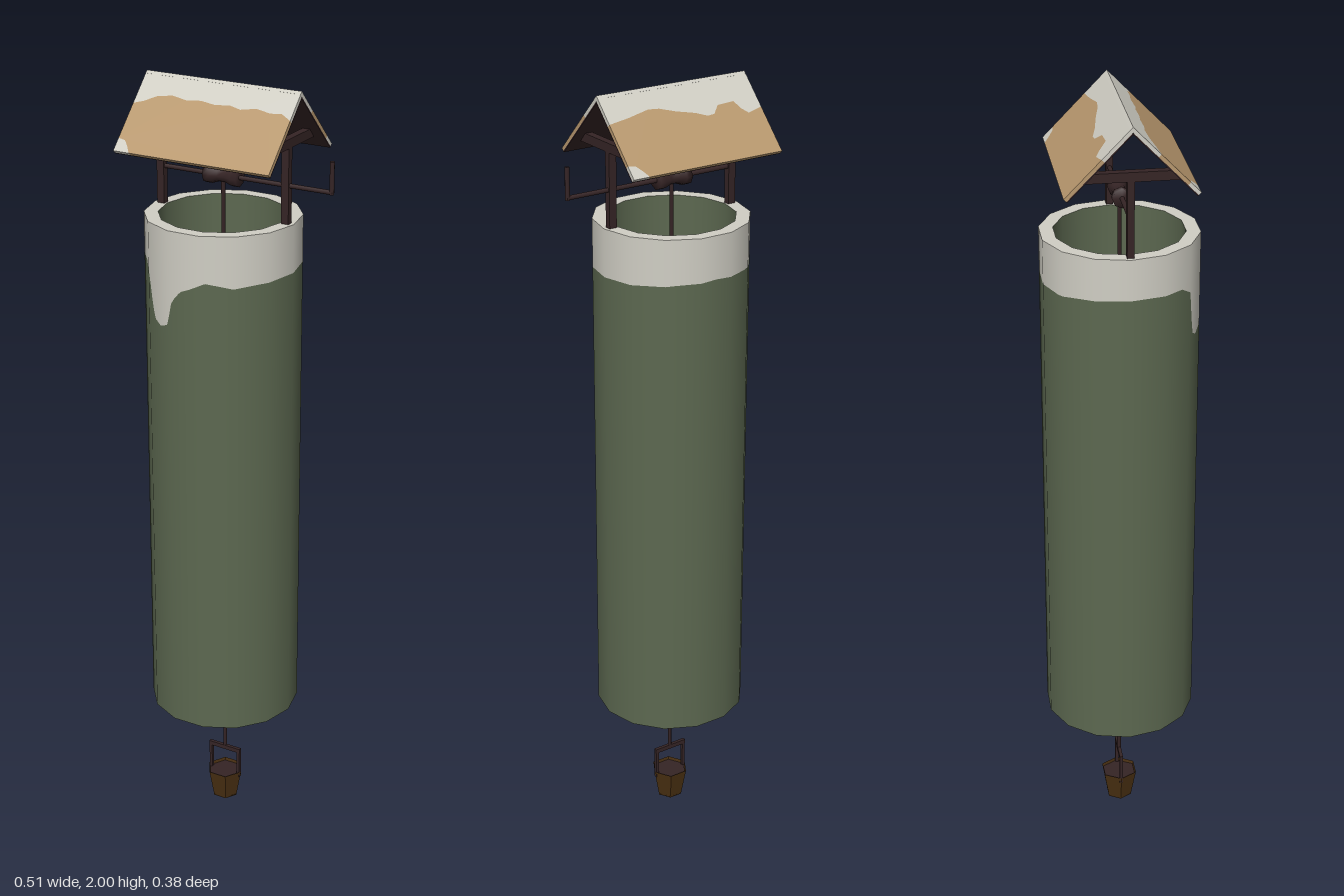
import * as THREE from 'three';

const mat = (name, color) => {
  const m = new THREE.MeshStandardMaterial({ color });
  m.name = name;
  return m;
};
const CX = -0.045, SIDES = 14, R_OUT = 0.195, R_IN = 0.16, Y_BOTTOM = 0.326, Y_TOP = 1.675;

// Linear interpolation through [x, y] points
function sample(pts, x) {
  if (x <= pts[0][0]) return pts[0][1];
  for (let i = 1; i < pts.length; i++) {
    const [x0, y0] = pts[i - 1], [x1, y1] = pts[i];
    if (x <= x1) return y0 + (y1 - y0) * (x - x0) / (x1 - x0);
  }
  return pts[pts.length - 1][1];
}

// Lower edge of the snow, around the shaft
const frontEdge = [[-0.24, 1.572], [-0.185, 1.57], [-0.165, 1.552], [-0.153, 1.48], [-0.143, 1.436], [-0.12, 1.424],
  [-0.092, 1.436], [-0.08, 1.497], [-0.055, 1.527], [-0.03, 1.537], [0.01, 1.557], [0.07, 1.545], [0.15, 1.553]];
const backEdge = [[-0.24, 1.572], [-0.15, 1.56], [-0.045, 1.565], [0.06, 1.56], [0.15, 1.553]];
const snowEdge = (x, z) => sample(z > 0 ? frontEdge : backEdge, x + CX);

// Smooth polygonal tube wall between two height functions
function wall(radius, low, high, inward = false) {
  const n = SIDES * 12, step = 2 * Math.PI / SIDES, pos = [], nor = [], idx = [];
  for (let i = 0; i <= n; i++) {
    const a = i / n * 2 * Math.PI;
    const r = radius * Math.cos(step / 2) / Math.cos((i % 12) / 12 * step - step / 2);
    const x = r * Math.cos(a), z = -r * Math.sin(a), s = inward ? -1 : 1;
    pos.push(x, low(x, z), z, x, high(x, z), z);
    for (let k = 0; k < 2; k++) nor.push(s * Math.cos(a), 0, -s * Math.sin(a));
    if (i === n) break;
    const b = i * 2;
    if (inward) idx.push(b, b + 1, b + 2, b + 2, b + 1, b + 3);
    else idx.push(b, b + 2, b + 1, b + 2, b + 3, b + 1);
  }
  const g = new THREE.BufferGeometry();
  g.setAttribute('position', new THREE.Float32BufferAttribute(pos, 3));
  g.setAttribute('normal', new THREE.Float32BufferAttribute(nor, 3));
  g.setIndex(idx);
  return g;
}

function extrude(points, depth) {
  const shape = new THREE.Shape(points.map(p => new THREE.Vector2(p[0], p[1])));
  return new THREE.ExtrudeGeometry(shape, { depth, bevelEnabled: false });
}

export function createModel() {
  const root = new THREE.Group();
  root.name = 'well';
  const stone = mat('mossy stone', 0x5c6850), snow = mat('snow', 0xd0cec4), plank = mat('tan plank', 0xb8986e);
  const dark = mat('dark timber', 0x352425), oak = mat('bucket wood', 0x4a3012);
  const add = (name, geo, material, x = 0, y = 0, z = 0, parent = root) => {
    const m = new THREE.Mesh(geo, material);
    m.name = name;
    m.position.set(x, y, z);
    parent.add(m);
    return m;
  };

  // Shaft with snowy upper band and rims
  const bottom = () => Y_BOTTOM, top = () => Y_TOP;
  add('shaftOuterWall', wall(R_OUT, bottom, snowEdge), stone, CX);
  add('snowBand', wall(R_OUT, snowEdge, top), snow, CX);
  add('shaftInnerWall', wall(R_IN, bottom, top, true), stone, CX);
  add('topRim', new THREE.RingGeometry(R_IN, R_OUT, SIDES), snow, CX, Y_TOP).rotation.x = -Math.PI / 2;
  add('bottomRim', new THREE.RingGeometry(R_IN, R_OUT, SIDES), stone, CX, Y_BOTTOM).rotation.x = Math.PI / 2;

  // Posts and roof crossbeams
  for (const s of [-1, 1]) {
    const x = CX + s * 0.174;
    add('post', new THREE.BoxGeometry(0.02, 0.2, 0.017), dark, x, 1.77, 0);
    const beam = extrude([[-0.117, 0], [0.117, 0], [0.096, 0.023], [-0.096, 0.023]], 0.02);
    add('crossbeam', beam, dark, x - 0.01, 1.861, 0).rotation.y = Math.PI / 2;
  }

  // Roof slopes: snow along the ridge and in one corner, planks between, dark lining beneath
  const H = 0.212, EAVE = 0.226, K = 1.432, T = 0.009;
  const edges = [
    [[-0.257, 0.065], [-0.23, 0.058], [-0.2, 0.046], [-0.16, 0.041], [-0.12, 0.046], [-0.08, 0.043], [-0.04, 0.047],
      [0, 0.044], [0.03, 0.049], [0.07, 0.043], [0.11, 0.048], [0.14, 0.046], [0.167, 0.056]],
    [[-0.257, -0.071], [-0.215, -0.078], [-0.2, -0.068], [-0.187, -0.052], [-0.14, -0.054], [-0.12, -0.069],
      [-0.1, -0.07], [-0.07, -0.061], [-0.02, -0.052], [0.02, -0.042], [0.05, -0.04], [0.11, -0.049], [0.167, -0.055]],
  ];
  const corner = [[-H, -0.19], [-0.192, -0.194], [-0.18, -0.208], [-0.168, -EAVE]];
  edges.forEach((edge, i) => {
    const s = i ? -1 : 1;
    const line = edge.map(([x, z]) => [s * (x - CX), -Math.abs(z) * K]);
    if (i) line.reverse();
    const pivot = new THREE.Group();
    pivot.name = i ? 'backRoof' : 'frontRoof';
    pivot.position.set(CX, 2, 0);
    pivot.rotation.y = i ? Math.PI : 0;
    const slope = new THREE.Group();
    slope.name = 'roofSlope';
    slope.rotation.x = -0.773;
    pivot.add(slope);
    root.add(pivot);
    add('ridgeSnow', extrude([...line, [H, 0], [-H, 0]], T), snow, 0, 0, -T, slope);
    add('cornerSnow', extrude([...corner, [-H, -EAVE]], T), snow, 0, 0, -T, slope);
    add('roofPlanks', extrude([...corner, [H, -EAVE], ...line.slice().reverse()], T), plank, 0, 0, -T, slope);
    add('roofLining', new THREE.BoxGeometry(2 * H, EAVE - 0.012, 0.003), dark, 0, -(EAVE + 0.012) / 2, -T - 0.0015, slope);
  });

  // Windlass: axle, crank handle and waisted spool
  const axleY = 1.769;
  add('axle', new THREE.CylinderGeometry(0.006, 0.006, 0.47, 8), dark, 0.018, axleY, 0).rotation.z = Math.PI / 2;
  add('crankHandle', new THREE.CylinderGeometry(0.006, 0.006, 0.08, 8), dark, 0.25, 1.804, 0);
  const spool = [[0, -0.046], [0.024, -0.046], [0.024, -0.03], [0.017, -0.01], [0.017, 0.01], [0.024, 0.03],
    [0.024, 0.046], [0, 0.046]].map(p => new THREE.Vector2(p[0], p[1]));
  add('spool', new THREE.LatheGeometry(spool, 8), dark, CX, axleY, 0).rotation.z = Math.PI / 2;

  // Rope
  add('rope', new THREE.CylinderGeometry(0.005, 0.005, axleY - 0.145, 6), dark, CX, (axleY + 0.145) / 2, 0);

  // Bucket: hexagonal, with recessed dark inside and a square bail
  const hex = (rt, rb, h, open) => new THREE.CylinderGeometry(rt, rb, h, 6, 1, open, Math.PI / 2).toNonIndexed();
  const bucket = hex(0.05, 0.035, 0.08, true);
  bucket.computeVertexNormals();
  const oakBoth = oak;
  oakBoth.side = THREE.DoubleSide;
  add('bucketSide', bucket, oakBoth, CX, 0.04, 0);
  add('bucketBase', hex(0.036, 0.035, 0.004, false), oak, CX, 0.002, 0);
  add('bucketFill', hex(0.047, 0.046, 0.006, false), dark, CX, 0.069, 0);
  for (const s of [-1, 1])
    add('bailLeg', new THREE.BoxGeometry(0.008, 0.085, 0.009), dark, CX + s * 0.043, 0.107, 0);
  add('bailBar', new THREE.BoxGeometry(0.096, 0.012, 0.009), dark, CX, 0.147, 0);

  return root;
}
